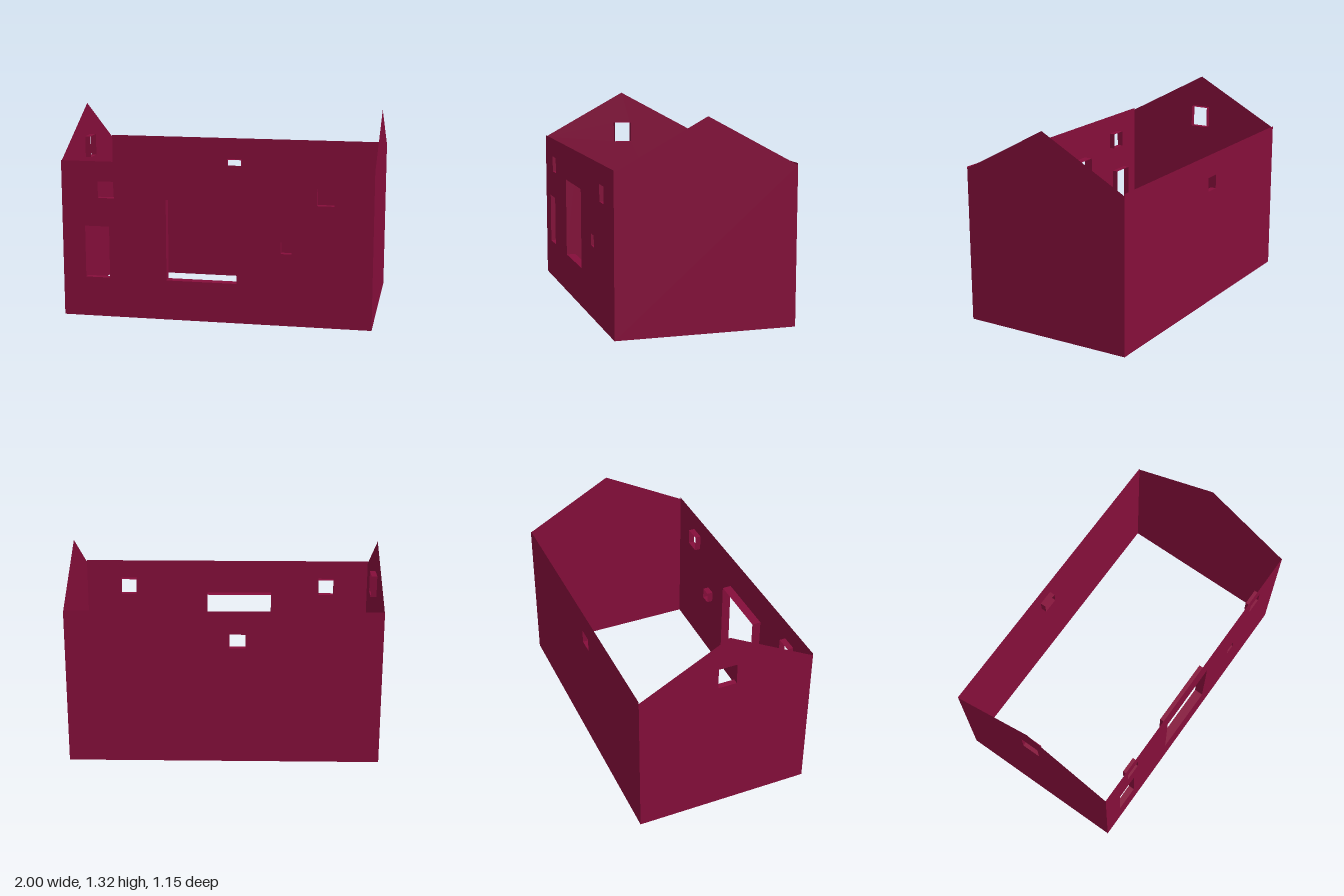
import * as THREE from 'three';

const W = 1, D = 0.577, WALL_H = 1.02, EAVE = 1.008, RIDGE = 1.32;

export function createModel() {
  const house = new THREE.Group();
  house.name = 'houseShell';
  const wine = new THREE.MeshStandardMaterial({ color: 0x850e3a, side: THREE.DoubleSide });
  wine.name = 'wine red';

  // Thin wall facing local +z, with openings [name, x0, x1, y0, y1, depth] lined inwards
  function wall(name, outline, openings = []) {
    const group = new THREE.Group();
    group.name = name;
    const shape = new THREE.Shape(outline.map(([x, y]) => new THREE.Vector2(x, y)));
    for (const [label, x0, x1, y0, y1, depth] of openings) {
      shape.holes.push(new THREE.Path([
        new THREE.Vector2(x0, y0), new THREE.Vector2(x0, y1),
        new THREE.Vector2(x1, y1), new THREE.Vector2(x1, y0)]));
      group.add(reveal(label + 'Reveal', x0, x1, y0, y1, depth));
    }
    const sheet = new THREE.Mesh(new THREE.ShapeGeometry(shape), wine);
    sheet.name = name + 'Sheet';
    group.add(sheet);
    house.add(group);
    return group;
  }

  // Four jamb faces running from the wall inwards, facing the opening
  function reveal(name, x0, x1, y0, y1, depth) {
    const group = new THREE.Group();
    group.name = name;
    const cx = (x0 + x1) / 2, cy = (y0 + y1) / 2;
    for (const s of [-1, 1]) {
      const jamb = new THREE.Mesh(new THREE.PlaneGeometry(depth, y1 - y0), wine);
      jamb.name = 'jamb';
      jamb.rotation.y = -s * Math.PI / 2;
      jamb.position.set(s < 0 ? x0 : x1, cy, -depth / 2);
      const ledge = new THREE.Mesh(new THREE.PlaneGeometry(x1 - x0, depth), wine);
      ledge.name = s < 0 ? 'sill' : 'lintel';
      ledge.rotation.x = s * Math.PI / 2;
      ledge.position.set(cx, s < 0 ? y0 : y1, -depth / 2);
      group.add(jamb, ledge);
    }
    return group;
  }

  const long = [[-W, 0], [W, 0], [W, WALL_H], [-W, WALL_H]];
  const gable = [[-D, 0], [D, 0], [D, EAVE], [0, RIDGE], [-D, EAVE]];

  // Long walls
  wall('frontWall', long, [
    ['tallWindow', -0.85, -0.69, 0.26, 0.598, 0.04],
    ['upperLeftWindow', -0.76, -0.652, 0.783, 0.891, 0.04],
    ['largeOpening', -0.315, 0.14, 0.26, 0.785, 0.06],
    ['smallWindow', 0.422, 0.492, 0.468, 0.543, 0.04],
    ['upperRightWindow', 0.647, 0.755, 0.783, 0.891, 0.04],
  ]).position.z = D;
  const back = wall('backWall', long, [['backWindow', 0.035, 0.138, 0.775, 0.867, 0.037]]);
  back.position.z = -D;
  back.rotation.y = Math.PI;

  // Gable walls
  const right = wall('rightGable', gable, [['gableWindow', -0.063, 0.06, 0.957, 1.1, 0.037]]);
  right.position.x = -W;
  right.rotation.y = -Math.PI / 2;
  const left = wall('leftGable', gable);
  left.position.x = W;
  left.rotation.y = Math.PI / 2;

  return house;
}
